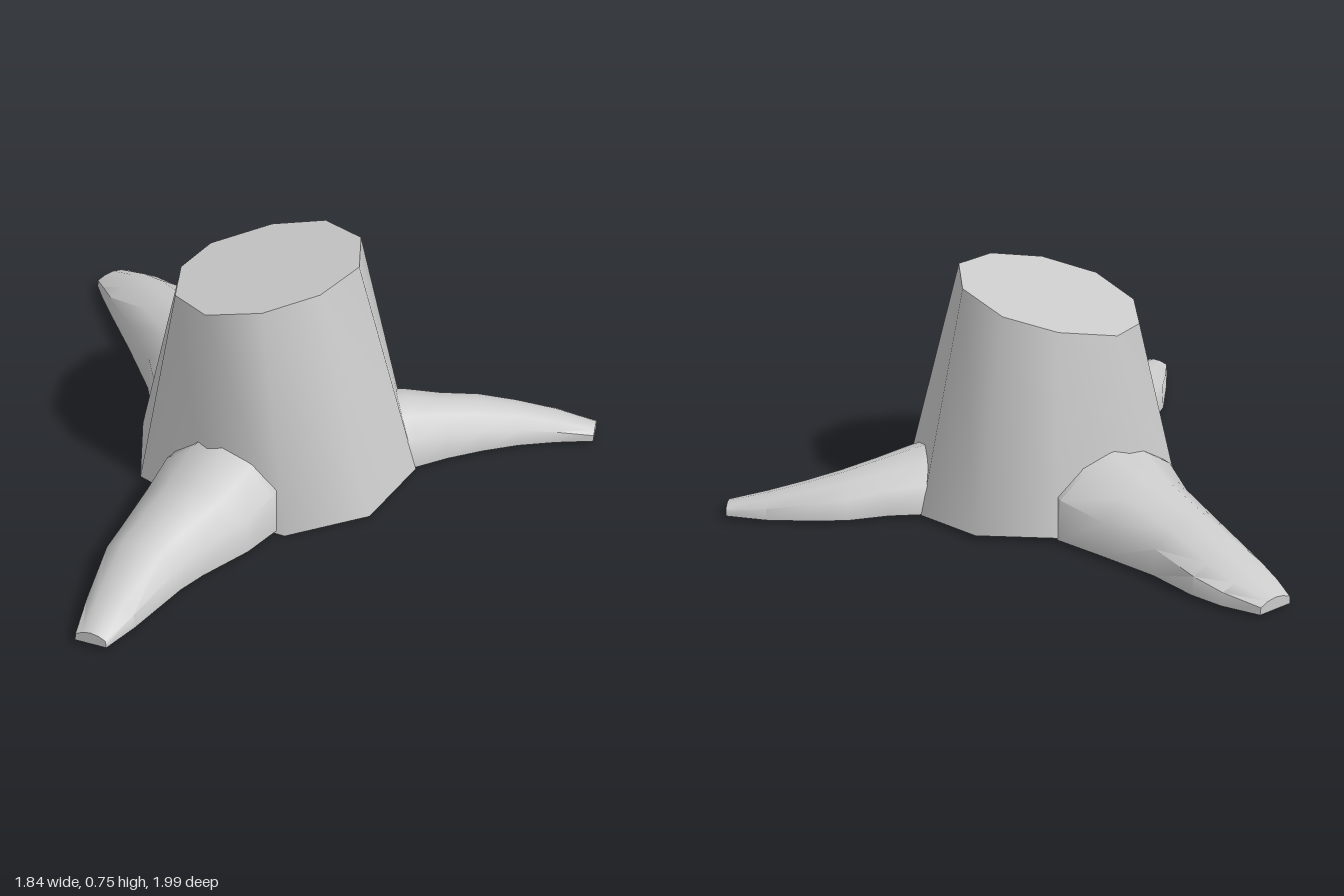
import * as THREE from 'three';
import { toCreasedNormals } from 'three/addons/utils/BufferGeometryUtils.js';

const material = new THREE.MeshStandardMaterial({ color: 0xcccccc });

// Skin a list of equal-length closed rings of [x, y, z] and cap both ends.
function loft(name, rings) {
  const n = rings[0].length;
  const last = rings.length - 1;
  const points = rings.flat();
  const index = [];
  for (let i = 0; i < last; i++) {
    for (let j = 0; j < n; j++) {
      const k = (j + 1) % n;
      const a = i * n + j, b = i * n + k, c = a + n, d = b + n;
      index.push(a, b, c, b, d, c);
    }
  }
  for (const i of [0, last]) {
    const centre = points.length;
    points.push([0, 1, 2].map((axis) => rings[i].reduce((sum, p) => sum + p[axis], 0) / n));
    for (let j = 0; j < n; j++) {
      const a = i * n + j, b = i * n + (j + 1) % n;
      index.push(centre, ...(i === 0 ? [b, a] : [a, b]));
    }
  }
  const geometry = new THREE.BufferGeometry();
  geometry.setAttribute('position', new THREE.Float32BufferAttribute(points.flat(), 3));
  geometry.setIndex(index);
  const mesh = new THREE.Mesh(toCreasedNormals(geometry, 0.95), material);
  mesh.name = name;
  return mesh;
}

// Tapered ten-sided trunk, cut on a slant at the top
function createTrunk() {
  const base = [[0.01, -0.28], [0.24, -0.16], [0.34, 0.06], [0.29, 0.36], [0.08, 0.56],
    [-0.2, 0.59], [-0.4, 0.42], [-0.56, 0.18], [-0.49, -0.1], [-0.29, -0.21]].reverse();
  const top = [[-0.04, -0.16], [0.11, -0.07], [0.17, 0.12], [0.11, 0.31], [-0.04, 0.41],
    [-0.22, 0.41], [-0.37, 0.31], [-0.42, 0.12], [-0.36, -0.06], [-0.24, -0.16]].reverse();
  return loft('trunk', [
    base.map(([x, z]) => [x, Math.max(0, 0.011 - 0.019 * z), z]),
    top.map(([x, z]) => [x, 0.686 + 0.195 * x + 0.14 * z, z]),
  ]);
}

// Arched root section: [position across, share of height]
const arch = [[0, 0], [0.02, 0.58], [0.24, 0.87], [0.5, 1], [0.76, 0.87], [0.98, 0.58], [1, 0]];

// Each station: left edge x, z, right edge x, z, height of the ridge
function createRoot(name, stations) {
  const floor = 0.01;
  return loft(name, stations.map(([lx, lz, rx, rz, height]) => arch.map(([t, h]) => [
    THREE.MathUtils.lerp(lx, rx, t),
    floor + (height - floor) * h,
    THREE.MathUtils.lerp(lz, rz, t),
  ])));
}

export function createModel() {
  const group = new THREE.Group();
  group.name = 'treeStump';
  group.add(
    createTrunk(),
    createRoot('backRoot', [
      [-0.4, 0.02, 0.0, -0.08, 0.26],
      [-0.45, -0.13, 0.01, -0.28, 0.24],
      [-0.43, -0.3, -0.07, -0.44, 0.2],
      [-0.44, -0.55, -0.16, -0.63, 0.16],
      [-0.455, -0.78, -0.21, -0.8, 0.115],
      [-0.46, -0.88, -0.26, -0.9, 0.085],
      [-0.46, -0.96, -0.34, -1.0, 0.05],
    ]),
    createRoot('frontRightRoot', [
      [-0.14, 0.45, -0.38, 0.2, 0.26],
      [-0.22, 0.57, -0.5, 0.28, 0.235],
      [-0.33, 0.65, -0.59, 0.4, 0.2],
      [-0.49, 0.73, -0.7, 0.54, 0.165],
      [-0.57, 0.78, -0.76, 0.61, 0.14],
      [-0.74, 0.92, -0.86, 0.8, 0.085],
      [-0.84, 0.99, -0.92, 0.93, 0.05],
    ]),
    createRoot('leftRoot', [
      [0.18, 0.07, 0.18, 0.36, 0.2],
      [0.32, 0.06, 0.29, 0.36, 0.18],
      [0.44, 0.095, 0.4, 0.34, 0.155],
      [0.57, 0.11, 0.52, 0.33, 0.13],
      [0.68, 0.15, 0.64, 0.33, 0.105],
      [0.81, 0.21, 0.76, 0.345, 0.075],
      [0.92, 0.29, 0.88, 0.37, 0.045],
    ]),
  );
  return group;
}
